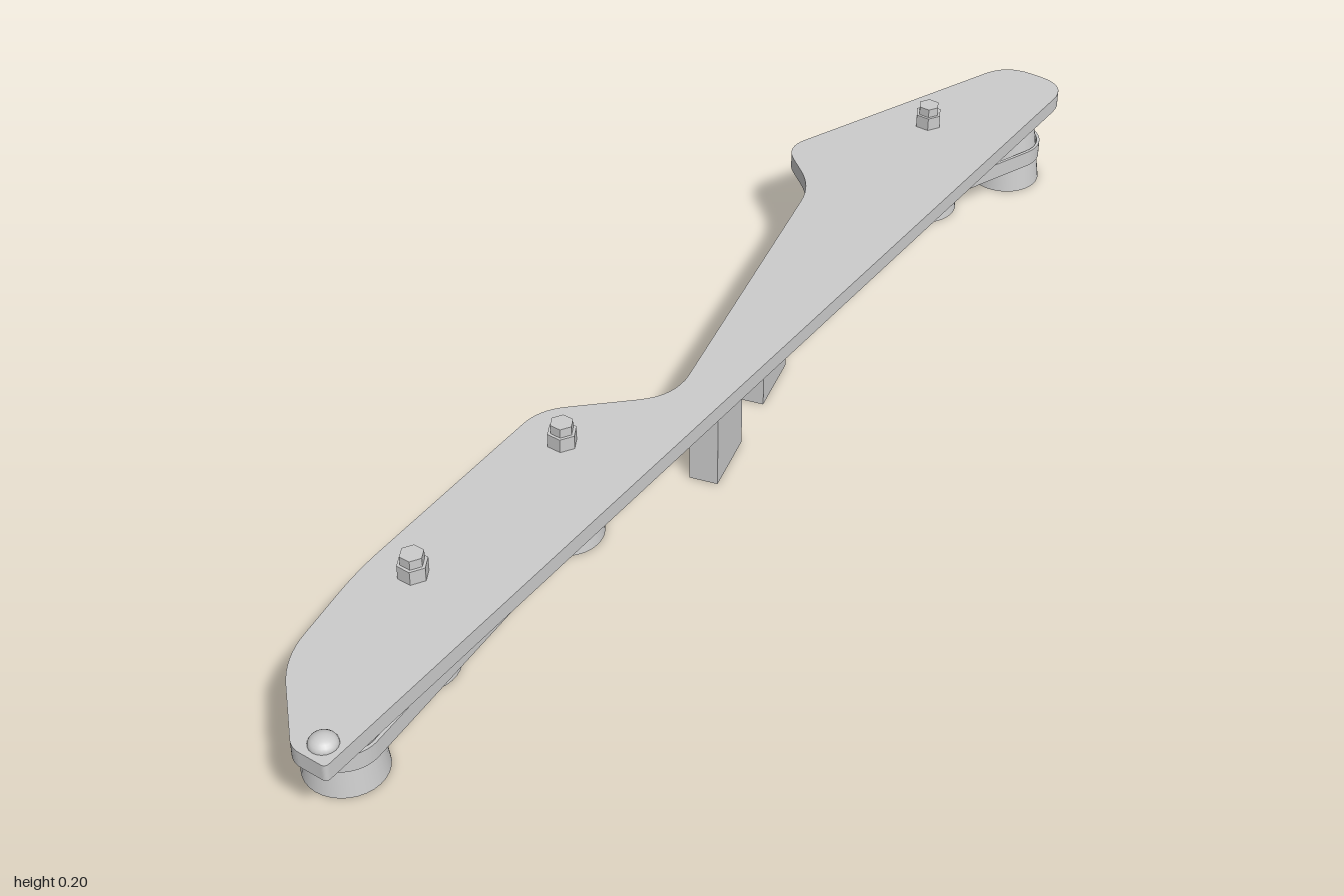
import * as THREE from 'three';

const grey = new THREE.MeshStandardMaterial({ color: 0xcccccc });
const flat = new THREE.MeshStandardMaterial({ color: 0xcccccc, flatShading: true });
const thin = new THREE.MeshStandardMaterial({ color: 0xcccccc, side: THREE.DoubleSide });

const PLATE_BOTTOM = 0.138, PLATE_TOP = 0.165;

// Closed outline from [x, z, corner rounding] entries
function roundedOutline(corners) {
  const shape = new THREE.Shape();
  const pts = corners.map(([x, z]) => new THREE.Vector2(x, -z));
  corners.forEach(([, , r], i) => {
    const p = pts[i], n = pts.length;
    const toward = (q) => p.clone().add(q.clone().sub(p).setLength(r));
    const a = toward(pts[(i + n - 1) % n]), b = toward(pts[(i + 1) % n]);
    if (i === 0) shape.moveTo(a.x, a.y); else shape.lineTo(a.x, a.y);
    shape.quadraticCurveTo(p.x, p.y, b.x, b.y);
  });
  shape.closePath();
  return shape;
}

// Loop of radius r stretched around two pegs
function stadium(Target, [x0, z0], [x1, z1], r) {
  const path = new Target();
  const dir = Math.atan2(-(z1 - z0), x1 - x0);
  path.absarc(x1, -z1, r, dir - Math.PI / 2, dir + Math.PI / 2, false);
  path.absarc(x0, -z0, r, dir + Math.PI / 2, dir + Math.PI * 1.5, false);
  path.closePath();
  return path;
}

// Extrude a floor-plan shape upward between two heights
function slab(shape, y0, y1, segments) {
  const geo = new THREE.ExtrudeGeometry(shape, { depth: y1 - y0, bevelEnabled: false, curveSegments: segments });
  return geo.rotateX(-Math.PI / 2).translate(0, y0, 0);
}

export function createModel() {
  const group = new THREE.Group();
  const add = (name, geo, mat, x = 0, y = 0, z = 0) => {
    const mesh = new THREE.Mesh(geo, mat);
    mesh.name = name;
    mesh.position.set(x, y, z);
    group.add(mesh);
    return mesh;
  };

  // Long top plate with a narrow waist
  const outline = roundedOutline([
    [-0.005, -1, 0.05], [0.119, -1, 0.055], [0.159, 1, 0.008], [0.1, 1, 0.015],
    [-0.017, 0.885, 0.05], [-0.053, 0.7, 0.05], [-0.071, 0.275, 0.04],
    [0.074, 0.13, 0.055], [-0.075, -0.465, 0.05], [-0.176, -0.542, 0.04],
  ]);
  add('plate', slab(outline, PLATE_BOTTOM, PLATE_TOP, 8), grey);

  // Tapered hollow pegs in a front and a rear row, each row with a band
  const rows = {
    front: [[0.061, 0.87], [0.013, 0.663], [0.005, 0.318]],
    rear: [[-0.08, -0.56], [-0.02, -0.745], [0.05, -0.917]],
  };
  const pegGeo = new THREE.CylinderGeometry(0.042, 0.061, PLATE_BOTTOM, 32, 1, true);
  for (const [row, pegs] of Object.entries(rows)) {
    for (const [x, z] of pegs) add(row + 'Peg', pegGeo, thin, x, PLATE_BOTTOM / 2, z);
    const band = stadium(THREE.Shape, pegs[0], pegs[2], 0.058);
    band.holes.push(stadium(THREE.Path, pegs[0], pegs[2], 0.053));
    add(row + 'Band', slab(band, 0.046, 0.075, 20), grey);
  }

  // Blocks under the waist, turned to follow its slanted edge
  const blockGeo = new THREE.BoxGeometry(0.046, PLATE_BOTTOM, 0.11);
  for (const [x, z] of [[0.094, 0.052], [0.04, -0.152], [-0.019, -0.357]]) {
    add('block', blockGeo, grey, x, PLATE_BOTTOM / 2, z).rotation.y = THREE.MathUtils.degToRad(15);
  }

  // Hex nuts with stud ends on the plate
  const nutGeo = new THREE.CylinderGeometry(0.023, 0.023, 0.023, 6).rotateY(Math.PI / 6);
  const studGeo = new THREE.CylinderGeometry(0.018, 0.018, 0.015, 6).rotateY(Math.PI / 6);
  for (const [x, z] of [[-0.018, -0.748], [0.005, 0.316], [0.014, 0.66]]) {
    add('nut', nutGeo, flat, x, PLATE_TOP + 0.0115, z);
    add('stud', studGeo, flat, x, PLATE_TOP + 0.0305, z);
  }

  // Small domed button at the front corner
  const domeGeo = new THREE.SphereGeometry(0.021, 20, 6, 0, Math.PI * 2, 0, Math.PI / 2).scale(1, 0.7, 1);
  add('button', domeGeo, grey, 0.129, PLATE_TOP, 0.97);

  return group;
}
